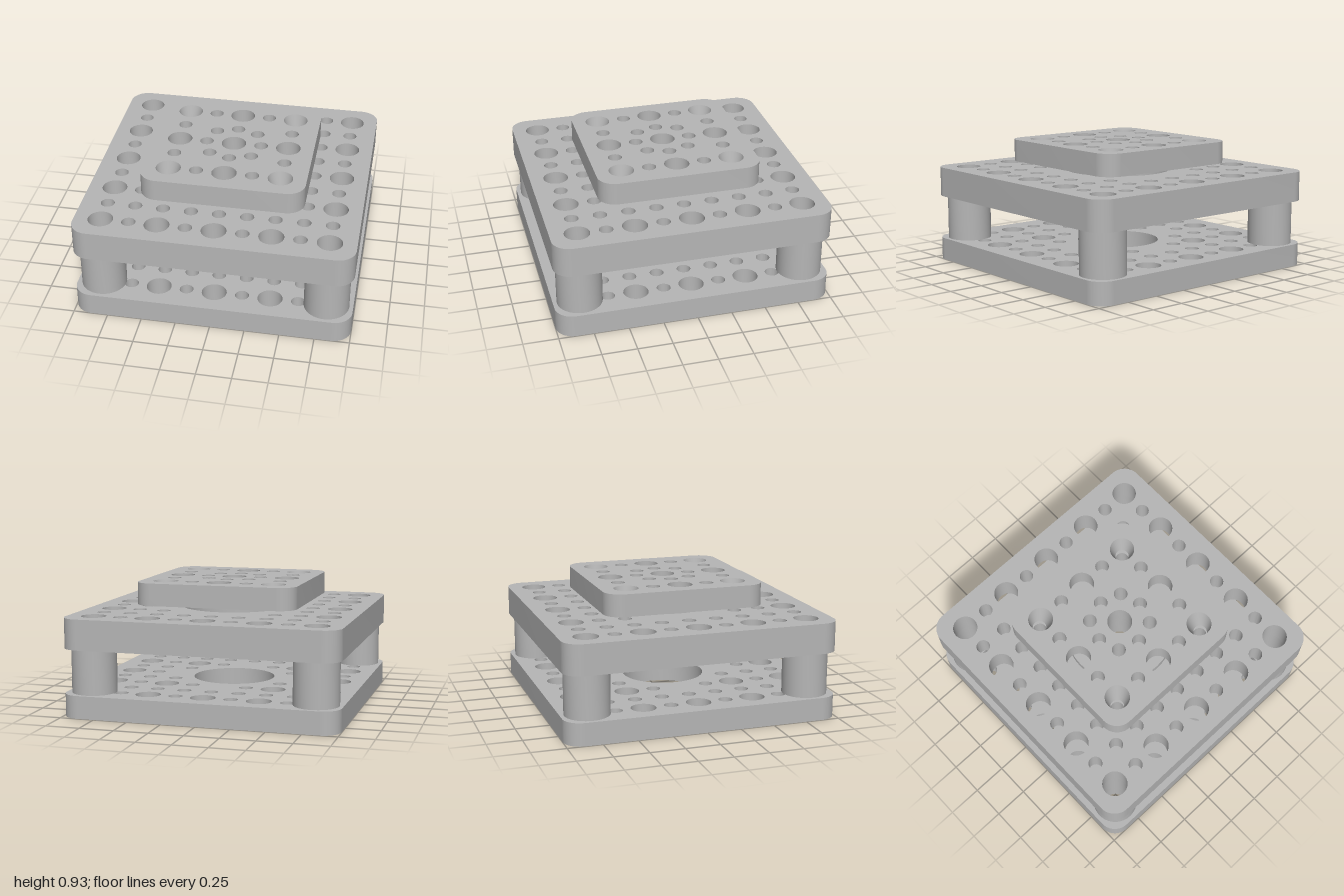
import * as THREE from 'three';
import { toCreasedNormals } from 'three/addons/utils/BufferGeometryUtils.js';

const PITCH = 0.2025, BIG = 0.09, SMALL = 0.05, SCREW = 0.153, CORNER = 0.418;

export function createModel() {
  const group = new THREE.Group();
  const grey = new THREE.MeshStandardMaterial({ color: 0xb6b6b6 });
  grey.name = 'machined grey';

  const add = (name, geometry, x = 0, y = 0, z = 0) => {
    const mesh = new THREE.Mesh(geometry, grey);
    mesh.name = name;
    mesh.position.set(x, y, z);
    group.add(mesh);
  };

  // Rounded square outline
  const square = (h, r) => {
    const s = new THREE.Shape();
    s.moveTo(h, -h + r);
    s.absarc(h - r, h - r, r, 0, Math.PI / 2);
    s.absarc(-h + r, h - r, r, Math.PI / 2, Math.PI);
    s.absarc(-h + r, -h + r, r, Math.PI, Math.PI * 1.5);
    s.absarc(h - r, -h + r, r, Math.PI * 1.5, Math.PI * 2);
    return s;
  };
  const disc = (r) => new THREE.Shape().absarc(0, 0, r, 0, Math.PI * 2);

  // Upright slab from an outline with round holes [x, z, radius]
  const slab = (shape, holes, height) => {
    for (const [x, z, r] of holes) {
      shape.holes.push(new THREE.Path().absarc(x, z, r, 0, Math.PI * 2, true));
    }
    const g = new THREE.ExtrudeGeometry(shape, { depth: height, bevelEnabled: false, curveSegments: 20 });
    g.rotateX(-Math.PI / 2);
    return toCreasedNormals(g, Math.PI / 5);
  };

  // Grid of alternating large and small holes, filtered by a rule
  const grid = (n, keep) => {
    const holes = [];
    for (let i = -n; i <= n; i++) {
      for (let j = -n; j <= n; j++) {
        if (!keep(Math.abs(i), Math.abs(j))) continue;
        holes.push([i * PITCH, j * PITCH, i % 2 === 0 && j % 2 === 0 ? BIG : SMALL]);
      }
    }
    return holes;
  };
  const signs = [[1, 1], [1, -1], [-1, 1], [-1, -1]];
  const four = (d, r) => signs.map(([a, b]) => [a * d, b * d, r]);
  const centre = [[0, 0, BIG], ...four(SCREW, SMALL)];

  // Base plate with a wide central opening
  const baseHoles = grid(4, (i, j) => Math.hypot(i, j) > 2.1);
  add('basePlate', slab(square(1, 0.13), [...baseHoles, [0, 0, 0.305]], 0.165));

  // Hollow corner pillars
  for (const [a, b] of signs) {
    add('pillar', slab(disc(0.162), [[0, 0, BIG]], 0.325), a * PITCH * 4, 0.165, b * PITCH * 4);
  }

  // Thick middle plate
  const middleHoles = grid(4, (i, j) => Math.max(i, j) > 2);
  add('middlePlate', slab(square(1, 0.13), [...middleHoles, ...centre, ...four(CORNER, SMALL)], 0.22), 0, 0.49, 0);

  // Round turntable boss
  add('turntableBoss', slab(disc(0.393), centre, 0.055), 0, 0.71, 0);

  // Small top plate
  const topHoles = grid(2, (i, j) => i + j > 0 && !(i === 1 && j === 1));
  add('topPlate', slab(square(0.593, 0.13), [...topHoles, ...centre], 0.163), 0, 0.765, 0);

  // Tapered corner bores of the top plate, leaning slightly outwards
  const bore = (points, a, b) => {
    const g = new THREE.LatheGeometry(points.map(([x, y]) => new THREE.Vector2(x, y)), 40);
    const p = g.attributes.position;
    const shift = CORNER - 2 * PITCH;
    for (let k = 0; k < p.count; k++) {
      if (Math.hypot(p.getX(k), p.getZ(k)) < 0.07) {
        p.setX(k, p.getX(k) + a * shift);
        p.setZ(k, p.getZ(k) + b * shift);
      }
    }
    return g;
  };
  for (const [a, b] of signs) {
    const x = a * PITCH * 2, z = b * PITCH * 2;
    add('taperedBore', bore([[BIG, 0.163], [SMALL, 0]], a, b), x, 0.765, z);
    add('boreUnderside', bore([[SMALL, 0], [BIG, 0]], a, b), x, 0.765, z);
  }
  return group;
}
